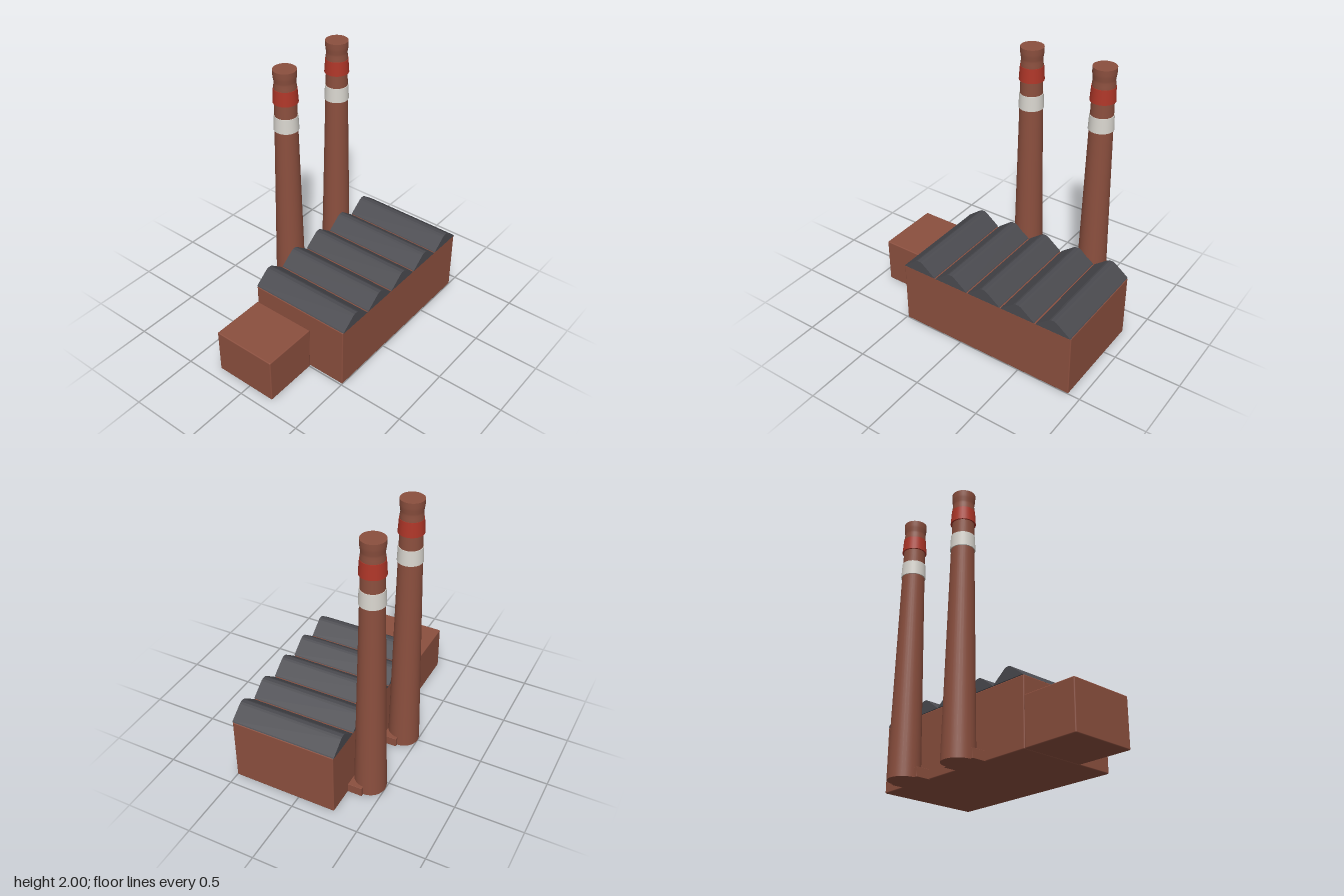
import * as THREE from 'three';
import { RoundedBoxGeometry } from 'three/addons/geometries/RoundedBoxGeometry.js';

const mat = (name, color) => {
  const m = new THREE.MeshStandardMaterial({ color });
  m.name = name;
  return m;
};

export function createModel() {
  const brick = mat('brick', 0x8b4f3e);
  const slate = mat('slate', 0x4a4a4f);
  const white = mat('white', 0xd8d5ce);
  const red = mat('red', 0xae3628);
  const model = new THREE.Group();
  model.name = 'factory';

  const add = (parent, name, geometry, material) => {
    const mesh = new THREE.Mesh(geometry, material);
    mesh.name = name;
    parent.add(mesh);
    return mesh;
  };
  // Softly bevelled block given by its extents
  const block = (parent, name, [x0, x1], [y0, y1], [z0, z1], bevel) => {
    const geo = new RoundedBoxGeometry(x1 - x0, y1 - y0, z1 - z0, 2, bevel);
    add(parent, name, geo, brick).position.set((x0 + x1) / 2, (y0 + y1) / 2, (z0 + z1) / 2);
  };

  // Main hall and lower annex
  block(model, 'mainHall', [-0.49, 0.91], [0, 0.49], [-0.28, 0.5], 0.008);
  block(model, 'annex', [-0.912, -0.492], [0, 0.352], [-0.28, 0.21], 0.008);

  // Row of five roof ridges with blunted peaks
  const profile = new THREE.Shape([
    [-0.136, 0], [0.136, 0], [0.131, 0.007], [0.03, 0.085], [0.014, 0.093],
    [-0.014, 0.093], [-0.03, 0.085], [-0.131, 0.007],
  ].map(([x, y]) => new THREE.Vector2(x, y)));
  const ridge = new THREE.ExtrudeGeometry(profile, { depth: 0.788, bevelEnabled: false });
  for (let i = 0; i < 5; i++) {
    add(model, 'roofRidge', ridge, slate).position.set(-0.35 + i * 0.28, 0.489, -0.284);
  }

  // Tapered chimneys, each with a painted collar pair and flared cap
  const lathe = (points) =>
    new THREE.LatheGeometry(points.map(([r, y]) => new THREE.Vector2(r, y)), 32);
  const tube = (r0, r1, y0, y1) =>
    new THREE.CylinderGeometry(r1, r0, y1 - y0, 32).translate(0, (y0 + y1) / 2, 0);
  for (const x of [0, 0.56]) {
    const chimney = new THREE.Group();
    chimney.name = 'chimney';
    chimney.position.set(x, 0, -0.385);
    add(chimney, 'shaft', tube(0.116, 0.076, 0, 1.87), brick);
    add(chimney, 'whiteBand', tube(0.09, 0.085, 1.545, 1.655), white);
    add(chimney, 'redBand', tube(0.09, 0.083, 1.758, 1.863), red);
    add(chimney, 'cap', lathe([
      [0.08, 1.862], [0.079, 1.885], [0.076, 1.905], [0.077, 1.92], [0.081, 1.945], [0.083, 1.965], [0.083, 2],
    ]), brick);
    add(chimney, 'capTop', new THREE.CircleGeometry(0.083, 32).rotateX(-Math.PI / 2), brick).position.y = 2;
    model.add(chimney);

    // Low footing linking the chimney to the hall
    block(model, 'footing', [x - 0.14, x + 0.14], [0, 0.07], [-0.385, -0.27], 0.002);
  }
  return model;
}
